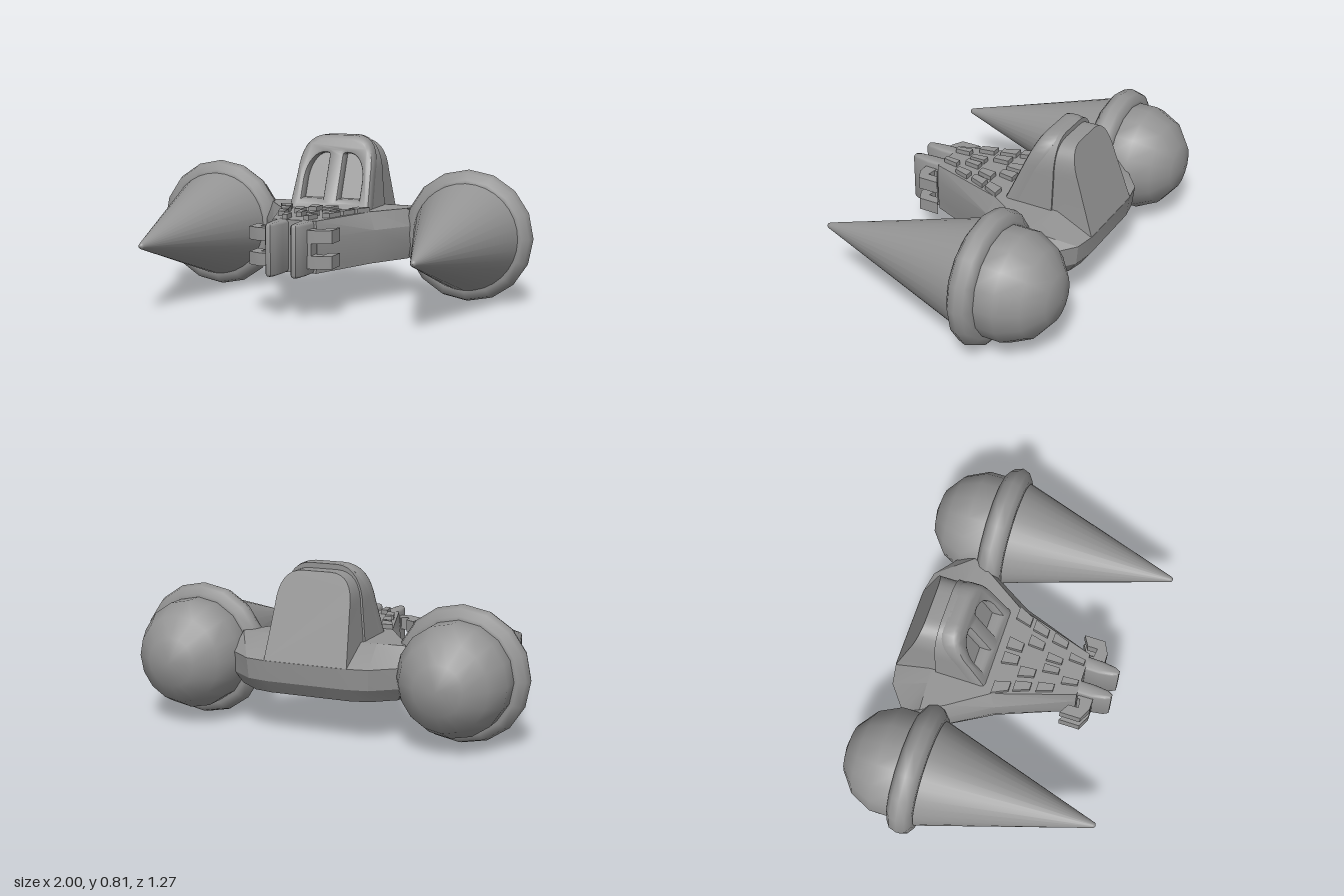
import * as THREE from 'three';
import { toCreasedNormals } from 'three/addons/utils/BufferGeometryUtils.js';

const hullPaint = new THREE.MeshStandardMaterial({ color: 0x949494 });

function add(parent, name, geometry, x = 0, y = 0, z = 0) {
  const mesh = new THREE.Mesh(geometry, hullPaint);
  mesh.name = name;
  mesh.position.set(x, y, z);
  parent.add(mesh);
}

// Move every vertex of a geometry by a rule
function warp(geometry, rule) {
  const p = geometry.attributes.position;
  const v = new THREE.Vector3();
  for (let i = 0; i < p.count; i++) {
    v.fromBufferAttribute(p, i);
    rule(v);
    p.setXYZ(i, v.x, v.y, v.z);
  }
  return geometry;
}

// Loft of mirrored half outlines [x, z], stacked from bottom to top
function mirroredLoft(levels) {
  const loops = levels.map(({ y, half }) => [
    ...half.map(([x, z]) => [x, y, z]),
    ...half.map(([x, z]) => [-x, y, z]).reverse(),
  ]);
  const out = [];
  const quad = (a, b, c, d) => out.push(...a, ...b, ...c, ...a, ...c, ...d);
  const n = loops[0].length;
  for (let i = 0; i < loops.length - 1; i++) {
    const lo = loops[i], hi = loops[i + 1];
    for (let j = 0; j < n; j++) {
      const k = (j + 1) % n;
      quad(lo[j], hi[j], hi[k], lo[k]);
    }
  }
  const bottom = loops[0], top = loops[loops.length - 1];
  for (let j = 0; j < n / 2 - 1; j++) {
    const l = n - 1 - j;
    quad(top[l], top[l - 1], top[j + 1], top[j]);
    quad(bottom[j], bottom[j + 1], bottom[l - 1], bottom[l]);
  }
  const g = new THREE.BufferGeometry();
  g.setAttribute('position', new THREE.Float32BufferAttribute(out, 3));
  return toCreasedNormals(g, 0.45);
}

// Arched outline of the cabin
function arch(base, foot, w, top) {
  const s = new THREE.Shape();
  s.moveTo(-foot, base);
  s.lineTo(foot, base);
  s.lineTo(w, 0.62);
  s.bezierCurveTo(w, 0.73, 0.15, top, 0.07, top);
  s.lineTo(-0.07, top);
  s.bezierCurveTo(-0.15, top, -w, 0.73, -w, 0.62);
  s.closePath();
  return s;
}

// Window opening, straight inside and curved outside
function windowHole(side) {
  const h = new THREE.Path();
  h.moveTo(side * 0.02, 0.48);
  h.lineTo(side * 0.172, 0.48);
  h.lineTo(side * 0.172, 0.6);
  h.bezierCurveTo(side * 0.165, 0.69, side * 0.12, 0.742, side * 0.06, 0.742);
  h.quadraticCurveTo(side * 0.02, 0.742, side * 0.02, 0.71);
  h.closePath();
  return h;
}

function createCabin() {
  const cabin = new THREE.Group();
  cabin.name = 'cabin';
  const frontZ = (y) => -0.235 + (0.81 - y) * 0.44;

  // Sloping front frame with two window openings
  const frame = arch(0.44, 0.195, 0.18, 0.79);
  frame.holes.push(windowHole(1), windowHole(-1));
  const frameGeo = new THREE.ExtrudeGeometry(frame, {
    depth: 0.05, curveSegments: 8, bevelSize: 0.02, bevelThickness: 0.02, bevelSegments: 2,
  });
  warp(frameGeo, (v) => { v.z += frontZ(v.y) - 0.07; });
  add(cabin, 'windowFrame', toCreasedNormals(frameGeo, 0.7));

  // Solid hood behind the frame
  const hoodGeo = new THREE.ExtrudeGeometry(arch(0.42, 0.215, 0.2, 0.81), {
    depth: 1, bevelEnabled: false, curveSegments: 8,
  });
  warp(hoodGeo, (v) => { v.z = THREE.MathUtils.lerp(-0.33, frontZ(v.y) - 0.06, v.z); });
  add(cabin, 'hood', toCreasedNormals(hoodGeo, 0.7));

  // Lower rear housing sloping down into the tail
  const rearGeo = new THREE.ExtrudeGeometry(arch(0.37, 0.21, 0.19, 0.785), {
    depth: 1, bevelEnabled: false, curveSegments: 8,
  });
  warp(rearGeo, (v) => {
    const back = -0.405 - (0.785 - v.y) * 0.335;
    v.z = THREE.MathUtils.lerp(back, -0.32, v.z);
  });
  add(cabin, 'rearHousing', toCreasedNormals(rearGeo, 0.7));
  return cabin;
}

// Conical pod with ring collar and domed rear
function createPod(side) {
  const pod = new THREE.Group();
  pod.name = side > 0 ? 'leftPod' : 'rightPod';
  pod.position.set(side * 0.672, 0.33, 0);
  const profile = [[0.265, -0.2], [0.015, 0.622], [0.01, 0.632], [0, 0.635]]
    .map(([r, z]) => new THREE.Vector2(r, z));
  add(pod, 'cone', new THREE.LatheGeometry(profile, 32).rotateX(Math.PI / 2));
  add(pod, 'collar', new THREE.TorusGeometry(0.262, 0.066, 10, 16), 0, 0, -0.265);
  add(pod, 'rearDome', new THREE.SphereGeometry(0.273, 16, 7).rotateX(Math.PI / 2), 0, 0, -0.362);
  return pod;
}

// Shape in the x-z plane extruded upward from y
function slab(points, y, height, bevel = 0) {
  const s = new THREE.Shape(points.map(([x, z]) => new THREE.Vector2(x, -z)));
  const g = new THREE.ExtrudeGeometry(s, {
    depth: height - 2 * bevel, bevelEnabled: bevel > 0,
    bevelSize: bevel, bevelThickness: bevel, bevelOffset: -bevel, bevelSegments: 2,
  });
  g.rotateX(-Math.PI / 2).translate(0, y + bevel, 0);
  return toCreasedNormals(g, 0.8);
}

export function createModel() {
  const model = new THREE.Group();
  model.name = 'craft';

  // Hull: flat deck, bulging rear and wing roots, tapering nose
  add(model, 'hull', mirroredLoft([
    { y: 0.205, half: [[0.2, -0.49], [0.29, -0.47], [0.405, -0.38], [0.37, -0.21], [0.255, -0.01], [0.11, 0.36]] },
    { y: 0.27, half: [[0.2, -0.535], [0.305, -0.515], [0.425, -0.425], [0.39, -0.21], [0.27, -0.01], [0.115, 0.36]] },
    { y: 0.37, half: [[0.2, -0.545], [0.31, -0.525], [0.43, -0.43], [0.39, -0.21], [0.27, -0.01], [0.115, 0.36]] },
    { y: 0.455, half: [[0.2, -0.36], [0.28, -0.35], [0.42, -0.34], [0.36, -0.23], [0.235, -0.04], [0.11, 0.36]] },
  ]));

  model.add(createCabin());

  // Deck tiles: [x, z, width]
  const tiles = [
    [0.19, 0.0, 0.055], [0.038, 0.0, 0.05],
    [0.155, 0.097, 0.045], [0.08, 0.097, 0.045],
    [0.125, 0.205, 0.04], [0.028, 0.205, 0.034],
    [0.06, 0.31, 0.03],
  ];

  for (const side of [1, -1]) {
    model.add(createPod(side));

    for (const [x, z, w] of tiles) {
      const g = new THREE.BoxGeometry(w, 0.045, 0.078);
      // Tiles narrow forward and lean with the taper of the nose
      warp(g, (v) => {
        v.x *= 1 - v.z * 4;
        v.x -= side * v.z * x * 2;
      });
      add(model, 'deckTile', toCreasedNormals(g, 0.3), side * x, 0.455, z);
    }

    // Upright nose prongs
    const mirror = (pts) => pts.map(([x, z]) => [side * x, z]);
    const prong = slab(mirror([[0.03, 0.3], [0.1, 0.3], [0.098, 0.43], [0.088, 0.5],
      [0.075, 0.525], [0.052, 0.525], [0.038, 0.5], [0.03, 0.43]]), 0.205, 0.25, 0.014);
    add(model, 'noseProng', prong);

    // Hooked side claws, upper and lower
    for (const y of [0.24, 0.36]) {
      add(model, 'sideClaw', slab(mirror([[0.085, 0.375], [0.16, 0.385], [0.16, 0.335],
        [0.21, 0.305], [0.21, 0.41], [0.15, 0.44], [0.085, 0.44]]), y, 0.062));
    }
    add(model, 'clawMount', new THREE.BoxGeometry(0.03, 0.18, 0.07), side * 0.1, 0.33, 0.4);
  }
  return model;
}
